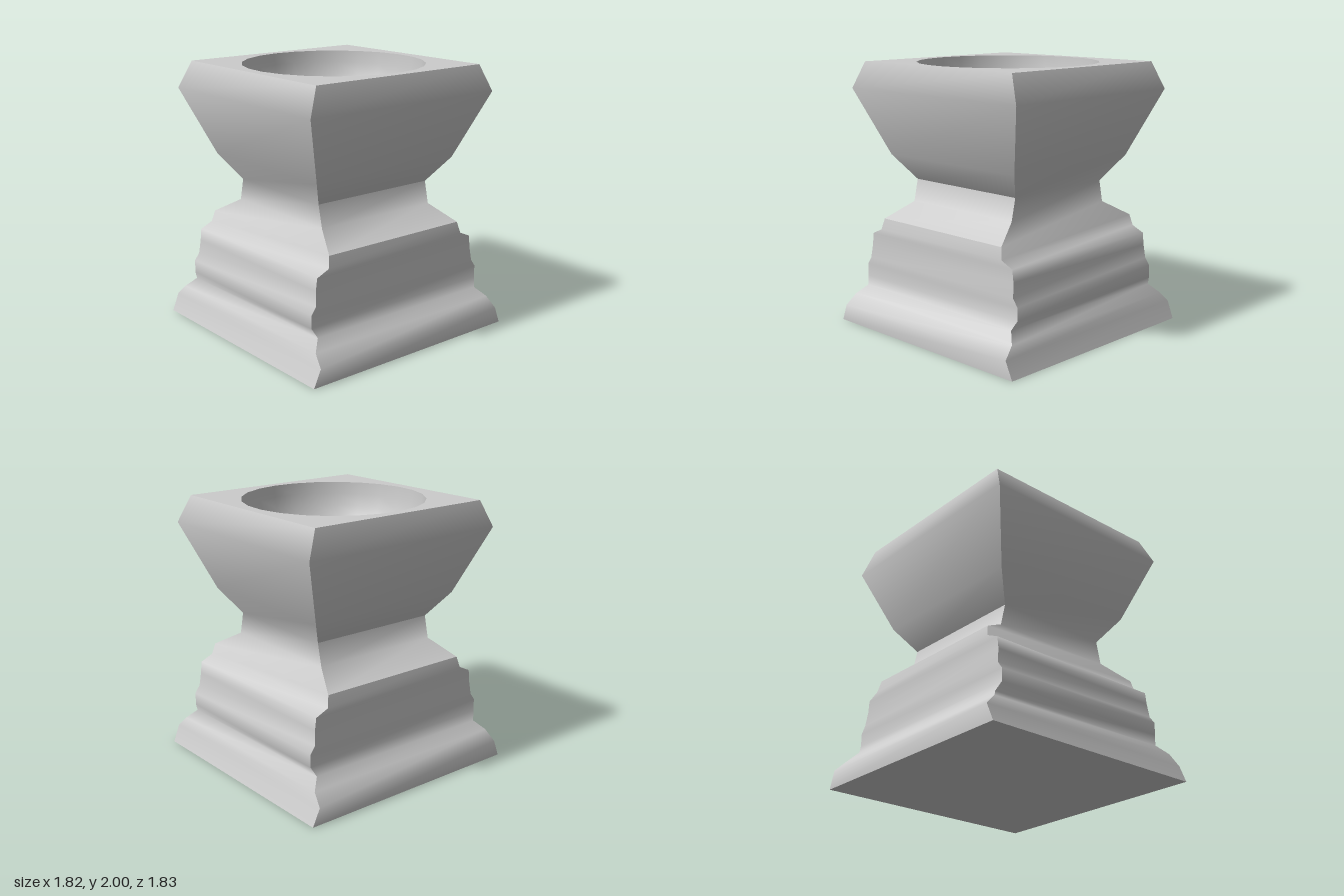
import * as THREE from 'three';

// Moulding levels from top to bottom: [y, half width in x, half depth in z]
const LEVELS = [
  [2.0, 0.745, 0.757], [1.8, 0.8, 0.848], [1.3, 0.605, 0.645], [1.107, 0.46, 0.515],
  [0.94, 0.497, 0.515], [0.82, 0.705, 0.62], [0.735, 0.724, 0.64], [0.69, 0.723, 0.74],
  [0.6, 0.722, 0.75], [0.495, 0.735, 0.76], [0.44, 0.735, 0.8], [0.345, 0.735, 0.8],
  [0.28, 0.765, 0.77], [0.21, 0.83, 0.84], [0.13, 0.91, 0.86], [0, 0.905, 0.915],
];
const BOWL_RADIUS = 0.678;
const BOWL_SIDES = 24;
const BOWL_TURN = 0.06;

// One face of the pedestal: smooth along its height, mitred at both corners.
// Each run of levels gets its own normals, so the joints between runs stay sharp.
function moulding(levels, sideways) {
  const positions = [];
  const index = [];
  levels.forEach(([y, hx, hz], i) => {
    const out = sideways ? hx : hz;
    const half = sideways ? hz : hx;
    positions.push(-half, y, out, half, y, out);
    if (i > 0) {
      const a = 2 * (i - 1); // upper left; a + 2 is lower left
      index.push(a, a + 2, a + 1, a + 1, a + 2, a + 3);
    }
  });
  const geometry = new THREE.BufferGeometry();
  geometry.setAttribute('position', new THREE.Float32BufferAttribute(positions, 3));
  geometry.setIndex(index);
  geometry.computeVertexNormals();
  return geometry;
}

export function createModel() {
  const model = new THREE.Group();
  model.name = 'pedestalBowl';
  const material = new THREE.MeshStandardMaterial({ color: 0xcccccc });
  const add = (name, geometry, parent = model) => {
    const mesh = new THREE.Mesh(geometry, material);
    mesh.name = name;
    parent.add(mesh);
    return mesh;
  };

  // Four moulded sides; left and right have sharp joints at the neck and shoulder
  const sides = ['front', 'left', 'back', 'right'];
  sides.forEach((name, i) => {
    const sideways = i % 2 === 1;
    const face = new THREE.Group();
    face.name = name + 'Side';
    face.rotation.y = (i * Math.PI) / 2;
    model.add(face);
    const runs = sideways
      ? { Capital: [0, 3], Neck: [3, 5], Base: [5, 15] }
      : { Moulding: [0, 15] };
    for (const [part, [from, to]] of Object.entries(runs)) {
      add(name + part, moulding(LEVELS.slice(from, to + 1), sideways), face);
    }
  });

  // Flat rim with a round opening
  const [topY, topX, topZ] = LEVELS[0];
  const rim = new THREE.Shape([
    new THREE.Vector2(-topX, -topZ), new THREE.Vector2(topX, -topZ),
    new THREE.Vector2(topX, topZ), new THREE.Vector2(-topX, topZ),
  ]);
  const opening = [];
  for (let i = 0; i < BOWL_SIDES; i++) {
    const a = BOWL_TURN + (i / BOWL_SIDES) * Math.PI * 2;
    opening.push(new THREE.Vector2(BOWL_RADIUS * Math.sin(a), -BOWL_RADIUS * Math.cos(a)));
  }
  rim.holes.push(new THREE.Path(opening));
  add('rim', new THREE.ShapeGeometry(rim).rotateX(-Math.PI / 2).translate(0, topY, 0));

  // Hemispherical bowl, profile run from the rim down so it faces inward
  const profile = [];
  for (let i = 0; i <= 12; i++) {
    const a = (i / 12) * Math.PI / 2;
    profile.push(new THREE.Vector2(
      i === 12 ? 0 : BOWL_RADIUS * Math.cos(a), topY - BOWL_RADIUS * Math.sin(a)));
  }
  add('bowl', new THREE.LatheGeometry(profile, BOWL_SIDES, BOWL_TURN));

  // Underside
  const [, baseX, baseZ] = LEVELS[LEVELS.length - 1];
  add('underside', new THREE.PlaneGeometry(baseX * 2, baseZ * 2).rotateX(Math.PI / 2));

  return model;
}
